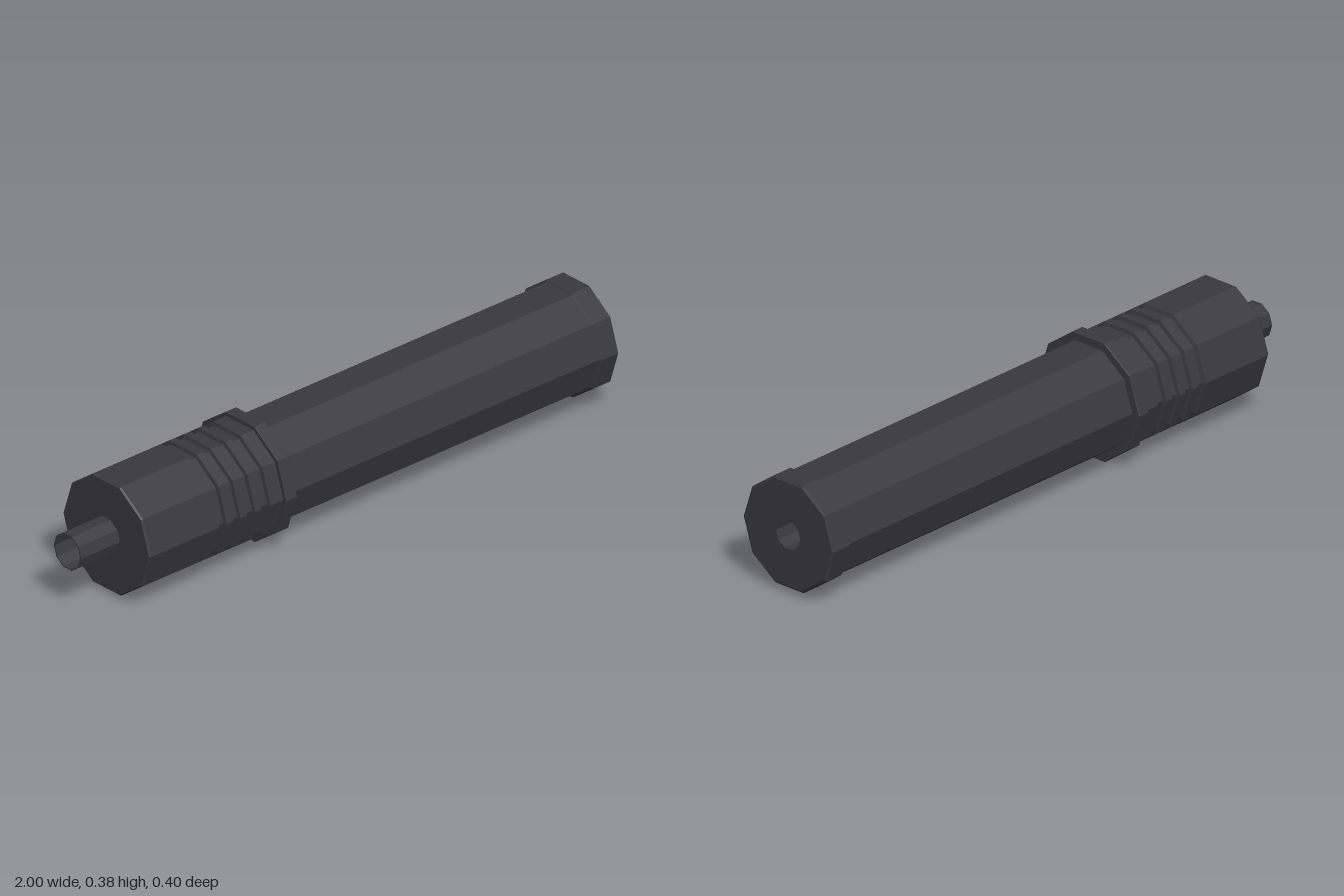
import * as THREE from 'three';

const SIDES = 10;
const AXIS_Y = 0.19;

// Faceted ten-sided turning along x from [x, radius] pairs
function turned(name, profile, material) {
  const points = profile.map(([x, r]) => new THREE.Vector2(r, x));
  const geometry = new THREE.LatheGeometry(points, SIDES).toNonIndexed();
  geometry.rotateZ(-Math.PI / 2);
  geometry.computeVertexNormals();
  const mesh = new THREE.Mesh(geometry, material);
  mesh.name = name;
  mesh.position.y = AXIS_Y;
  return mesh;
}

export function createModel() {
  const group = new THREE.Group();
  group.name = 'facetedCylinder';
  const darkMetal = new THREE.MeshStandardMaterial({ color: 0x39383e });
  darkMetal.name = 'dark metal';
  const add = (name, profile) => group.add(turned(name, profile, darkMetal));

  // Rear housing with three narrow ridges between grooves
  const outer = 0.188, groove = 0.176;
  const housing = [[-0.848, 0], [-0.848, 0.184], [-0.842, outer], [-0.579, outer], [-0.574, groove]];
  for (const [a, b] of [[-0.549, -0.52], [-0.495, -0.464], [-0.437, -0.408], [-0.378, -0.322]]) {
    housing.push([a, groove], [a + 0.003, outer], [b - 0.003, outer], [b, groove]);
  }
  housing.push([-0.322, 0]);
  add('ridgedHousing', housing);

  // Wide collar
  add('collar', [[-0.323, 0], [-0.323, 0.198], [-0.321, 0.2], [-0.283, 0.2], [-0.281, 0.198], [-0.281, 0]]);

  // Long barrel and bevelled front cap, with a blind bore
  add('barrel', [[-0.281, 0.173], [0.926, 0.173]]);
  add('frontCap', [
    [0.922, 0.172], [0.93, 0.181], [0.994, 0.181], [1, 0.173],
    [1, 0.048], [0.6, 0.048], [0.6, 0],
  ]);

  // Hollow rear tube
  add('rearTube', [[-0.85, 0.055], [-1, 0.055], [-1, 0.059], [-0.848, 0.059]]);

  return group;
}
